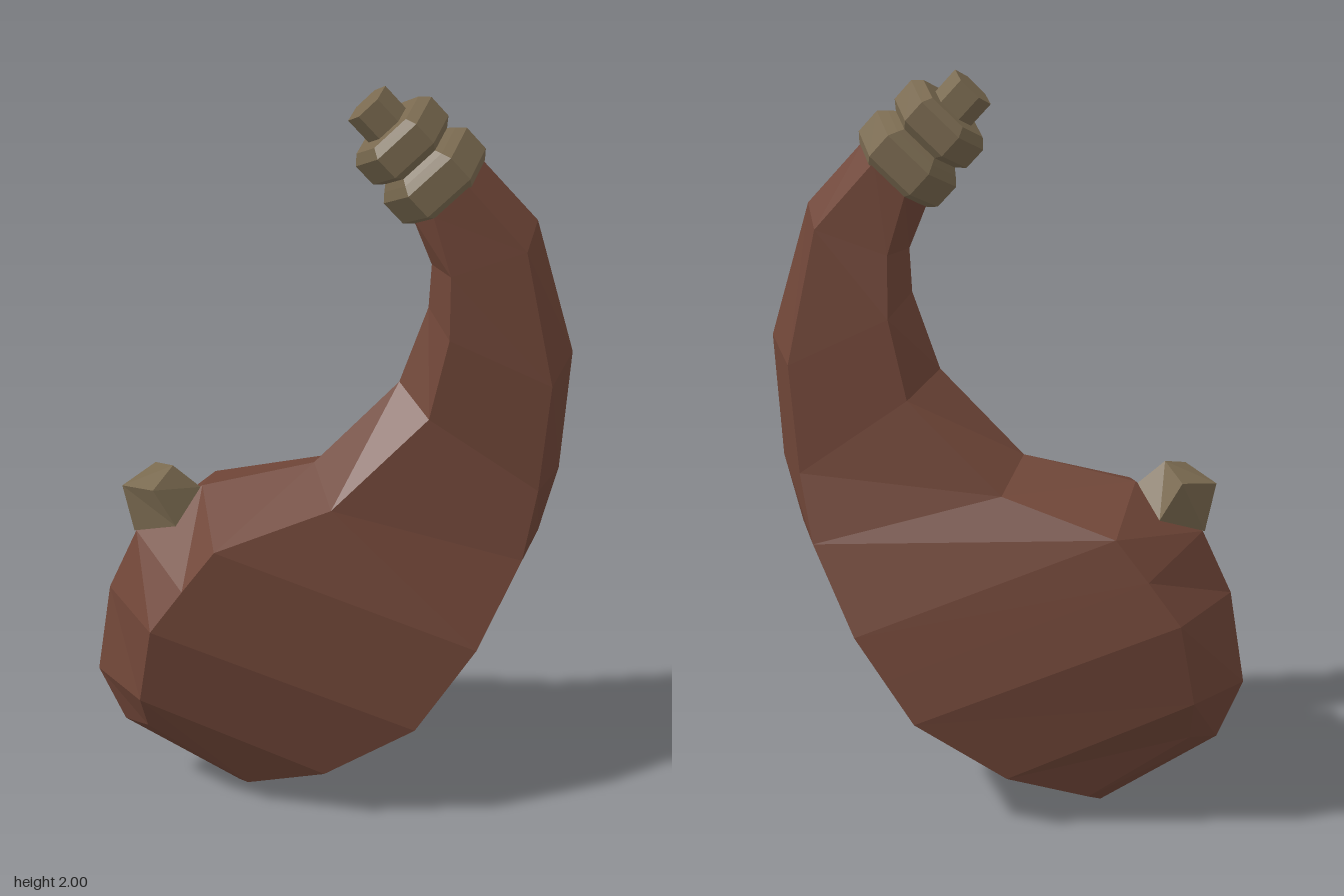
import * as THREE from 'three';

const leather = new THREE.MeshStandardMaterial({ color: 0x704638, flatShading: true });
leather.name = 'brown leather';
const wood = new THREE.MeshStandardMaterial({ color: 0x7a6a50, flatShading: true });
wood.name = 'dull wood';

// Skins closed rings of points (all the same length) and caps both ends.
function loft(rings) {
  const n = rings[0].length;
  const index = [];
  for (let s = 0; s < rings.length - 1; s++) {
    for (let k = 0; k < n; k++) {
      const a = s * n + k, b = s * n + (k + 1) % n;
      index.push(a, a + n, b + n, a, b + n, b);
    }
  }
  const last = (rings.length - 1) * n;
  for (let k = 1; k < n - 1; k++) {
    index.push(0, k, k + 1, last, last + k + 1, last + k);
  }
  const g = new THREE.BufferGeometry();
  g.setAttribute('position', new THREE.Float32BufferAttribute(rings.flat(2), 3));
  g.setIndex(index);
  const flat = g.toNonIndexed();
  flat.computeVertexNormals();
  return flat;
}

function addMesh(parent, name, geometry, material) {
  const m = new THREE.Mesh(geometry, material);
  m.name = name;
  parent.add(m);
  return m;
}

export function createModel() {
  const model = new THREE.Group();
  model.name = 'waterskin';

  // Six-sided sections from neck to bottom:
  // inner edge x,y | inner side x,y | outer side x,y | outer edge x,y | half depth
  const sections = [
    [0.21, 1.68, 0.25, 1.71, 0.325, 1.79, 0.37, 1.83, 0.09],
    [0.26, 1.56, 0.296, 1.56, 0.48, 1.62, 0.52, 1.67, 0.1],
    [0.255, 1.447, 0.296, 1.40, 0.56, 1.27, 0.63, 1.32, 0.115],
    [0.185, 1.245, 0.25, 1.19, 0.54, 0.98, 0.615, 0.99, 0.12],
    [-0.035, 1.02, 0, 0.96, 0.50, 0.80, 0.57, 0.80, 0.165],
    [-0.33, 0.96, -0.30, 0.885, 0.38, 0.57, 0.45, 0.53, 0.235],
    [-0.51, 0.83, -0.385, 0.78, 0.30, 0.455, 0.365, 0.4, 0.248],
    [-0.59, 0.66, -0.47, 0.67, 0.22, 0.34, 0.28, 0.265, 0.26],
    [-0.635, 0.40, -0.51, 0.43, -0.02, 0.17, -0.02, 0.07, 0.21],
    [-0.57, 0.23, -0.50, 0.28, -0.23, 0.075, -0.255, 0.005, 0.11],
  ];
  const rings = sections.map(([ax, ay, bx, by, cx, cy, dx, dy, w]) => [
    [ax, ay, 0], [bx, by, w], [cx, cy, w],
    [dx, dy, 0], [cx, cy, -w], [bx, by, -w],
  ]);
  addMesh(model, 'bag', loft(rings), leather);

  // Hexagonal stopper: two bevelled collars and a small knob
  const profile = [
    [0, -0.055], [0.115, -0.055], [0.135, -0.035], [0.135, 0.035], [0.115, 0.055],
    [0.1, 0.068], [0.122, 0.088], [0.122, 0.15], [0.1, 0.172],
    [0.06, 0.172], [0.06, 0.245], [0, 0.245],
  ].map(([r, y]) => new THREE.Vector2(r, y));
  const stopper = addMesh(model, 'stopper',
    new THREE.LatheGeometry(profile, 6, Math.PI / 2), wood);
  stopper.position.set(0.26, 1.785, 0);
  stopper.rotation.z = 0.75;
  stopper.scale.z = 0.88;

  // Four-sided spout plug on the shoulder
  const spout = [
    [[-0.54, 0.965, 0], [-0.455, 0.99, 0.085], [-0.405, 1.02, 0], [-0.455, 0.99, -0.085]],
    [[-0.515, 0.83, 0], [-0.40, 0.89, 0.095], [-0.335, 0.955, 0], [-0.40, 0.89, -0.095]],
  ];
  addMesh(model, 'spoutPlug', loft(spout), wood);

  return model;
}
